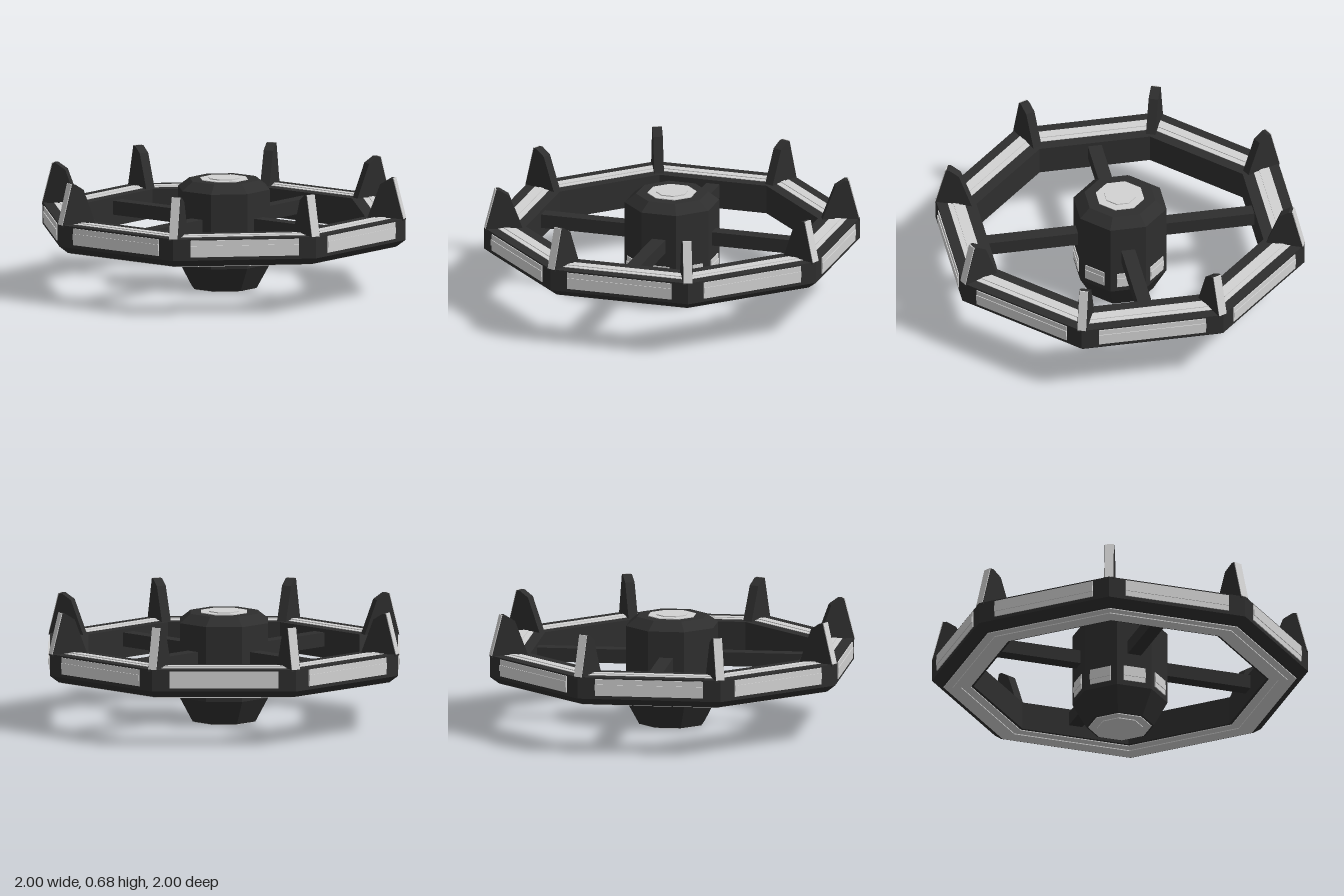
import * as THREE from 'three';

const dark = new THREE.MeshStandardMaterial({ color: 0x2e2e2e });
dark.name = 'charcoal hull';
const light = new THREE.MeshStandardMaterial({ color: 0xd2d2d2 });
light.name = 'pale grey panel';

const SIDES = 8, STEP = Math.PI / 4, HALF = Math.PI / 8;

function add(parent, name, geometry, material) {
  const mesh = new THREE.Mesh(geometry, material);
  mesh.name = name;
  parent.add(mesh);
  return mesh;
}

// Octagonal body from [apothem, y] points, counter-clockwise in the section
function octagon(points) {
  const profile = points.map(([r, y]) => new THREE.Vector2(r / Math.cos(HALF), y));
  const geometry = new THREE.LatheGeometry(profile, SIDES, HALF).toNonIndexed();
  geometry.computeVertexNormals();
  return geometry;
}

// Flat octagonal band between two apothems
const band = (r0, r1, y0, y1) => octagon([[r0, y0], [r1, y0], [r1, y1], [r0, y1], [r0, y0]]);

// Striped plate on a wall: a base plate with a raised middle strip
function wallPanel(parent, name, wall, y, width, height) {
  for (let i = 0; i < SIDES; i++) {
    const panel = new THREE.Group();
    panel.name = name;
    panel.rotation.y = i * STEP;
    add(panel, name + 'Plate', new THREE.BoxGeometry(width, height, 0.009), light)
      .position.set(0, y, wall + 0.001);
    add(panel, name + 'Strip', new THREE.BoxGeometry(width, height * 0.36, 0.009), light)
      .position.set(0, y, wall + 0.0055);
    parent.add(panel);
  }
}

// Plate cut from a radial outline, centred on its thickness
function radialPlate(points, thickness) {
  const shape = new THREE.Shape(points.map(([r, y]) => new THREE.Vector2(r, y)));
  const geometry = new THREE.ExtrudeGeometry(shape, { depth: thickness, bevelEnabled: false });
  return geometry.translate(0, 0, -thickness / 2);
}

export function createModel() {
  const model = new THREE.Group();
  model.name = 'octagonalStation';

  // Outer ring with a chamfered lower edge
  const ring = new THREE.Group();
  ring.name = 'outerRing';
  model.add(ring);
  add(ring, 'ringBody', octagon([
    [0.77, 0.285], [0.94, 0.285], [0.99, 0.325], [0.99, 0.45], [0.77, 0.45], [0.77, 0.285],
  ]), dark);
  add(ring, 'topPanel', band(0.835, 0.93, 0.446, 0.453), light);
  add(ring, 'topPanelStrip', band(0.868, 0.9, 0.449, 0.457), light);
  add(ring, 'bottomPanel', band(0.785, 0.928, 0.28, 0.288), light);
  add(ring, 'bottomPanelStrip', band(0.835, 0.88, 0.275, 0.283), light);
  wallPanel(ring, 'sidePanel', 0.99, 0.393, 0.62, 0.096);

  // Central hub
  const hub = new THREE.Group();
  hub.name = 'hub';
  model.add(hub);
  add(hub, 'hubBody', octagon([
    [0, 0.01], [0.178, 0.01], [0.25, 0.15], [0.25, 0.58], [0.19, 0.63], [0, 0.63],
  ]), dark);
  const cap = (r, y0, y1) => octagon([[0, y0], [r, y0], [r, y1], [0, y1]]);
  add(hub, 'topCap', cap(0.13, 0.627, 0.634), light);
  add(hub, 'topCapCentre', cap(0.085, 0.632, 0.64), light);
  add(hub, 'bottomCap', cap(0.166, 0.005, 0.012), light);
  add(hub, 'bottomCapCentre', cap(0.12, 0, 0.008), light);
  wallPanel(hub, 'hubWindow', 0.25, 0.225, 0.13, 0.09);

  // Four spokes joining hub and ring
  for (let i = 0; i < 4; i++) {
    const spoke = add(model, 'spoke', new THREE.BoxGeometry(0.08, 0.08, 0.56).translate(0, 0.39, 0.51), dark);
    spoke.rotation.y = i * Math.PI / 2;
  }

  // Fins on the ring corners, with a pale outer edge
  const finShape = [[0.85, 0.44], [1.068, 0.44], [1.005, 0.68], [0.985, 0.68], [0.93, 0.645], [0.855, 0.45]];
  const edgeShape = [[1.063, 0.45], [1.069, 0.45], [1.01, 0.682], [1.003, 0.682]];
  for (let i = 0; i < SIDES; i++) {
    const fin = new THREE.Group();
    fin.name = 'fin';
    fin.rotation.y = HALF + i * STEP;
    add(fin, 'finBlade', radialPlate(finShape, 0.055), dark);
    add(fin, 'finEdge', radialPlate(edgeShape, 0.05), light);
    model.add(fin);
  }
  return model;
}
